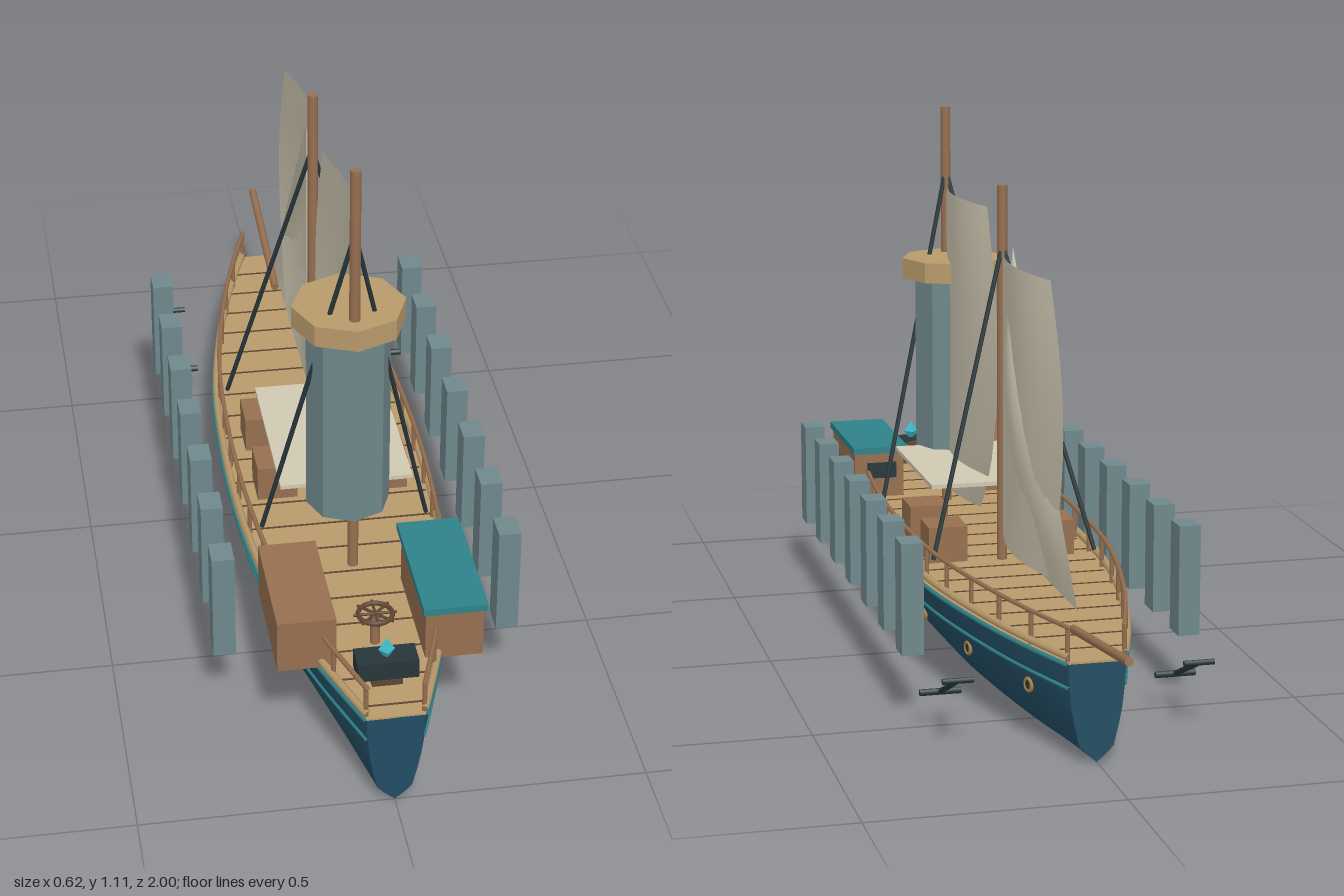
import * as THREE from 'three';

const mat = (name, color, double = false) => {
  const m = new THREE.MeshStandardMaterial({ color });
  m.name = name;
  if (double) m.side = THREE.DoubleSide;
  return m;
};
const V = (x, y, z) => new THREE.Vector3(x, y, z);

export function createModel() {
  const M = {
    hull: mat('hull blue', 0x234d63),
    deck: mat('deck tan', 0xb89a6b),
    wood: mat('brown wood', 0x966f50),
    darkWood: mat('dark wood', 0x5e4632),
    steel: mat('grey blue steel', 0x6f888c),
    sail: mat('canvas', 0xd0c9b3, true),
    teal: mat('teal', 0x2f828a),
    iron: mat('dark iron', 0x27363a),
    brass: mat('brass', 0xb0854a),
    crystal: mat('cyan crystal', 0x3fbccd),
  };
  const root = new THREE.Group();
  root.name = 'sailingShip';

  const add = (name, geo, m, x = 0, y = 0, z = 0) => {
    const mesh = new THREE.Mesh(geo, m);
    mesh.name = name;
    mesh.position.set(x, y, z);
    root.add(mesh);
    return mesh;
  };
  const box = (name, m, x0, x1, y0, y1, z0, z1) =>
    add(name, new THREE.BoxGeometry(x1 - x0, y1 - y0, z1 - z0), m, (x0 + x1) / 2, (y0 + y1) / 2, (z0 + z1) / 2);
  const rod = (name, m, a, b, r, sides = 8) => {
    const mesh = add(name, new THREE.CylinderGeometry(r, r, a.distanceTo(b), sides), m);
    mesh.position.copy(a).lerp(b, 0.5);
    mesh.quaternion.setFromUnitVectors(V(0, 1, 0), b.clone().sub(a).normalize());
    return mesh;
  };

  // Plan of the hull: half width along z, bow at -z
  const plan = new THREE.CatmullRomCurve3([
    [-0.785, 0.057], [-0.6, 0.117], [-0.4, 0.165], [-0.2, 0.199], [0, 0.212], [0.2, 0.214],
    [0.4, 0.204], [0.6, 0.18], [0.8, 0.127], [1, 0.057],
  ].map(([z, w]) => V(w, 0, z)), false, 'centripetal');
  const stations = plan.getPoints(48);
  const halfWidth = (z) => {
    let i = 1;
    while (i < stations.length - 1 && stations[i].z < z) i++;
    const a = stations[i - 1], b = stations[i];
    return THREE.MathUtils.lerp(a.x, b.x, (z - a.z) / (b.z - a.z));
  };

  // Hull skin from scaled cross-sections
  const half = [[1, 0.2], [0.98, 0.17], [0.94, 0.14], [0.88, 0.108], [0.75, 0.07], [0.59, 0.032], [0.3, 0.015]];
  const section = [...half, [0, 0.001], ...half.slice().reverse().map(([x, y]) => [-x, y])];
  const pos = [], idx = [], n = section.length;
  stations.forEach((s, i) => {
    section.forEach(([x, y], j) => {
      pos.push(x * s.x, y, s.z);
      if (i < stations.length - 1 && j < n - 1) {
        const a = i * n + j;
        idx.push(a, a + n, a + 1, a + 1, a + n, a + n + 1);
      }
    });
  });
  const skin = new THREE.BufferGeometry();
  skin.setAttribute('position', new THREE.Float32BufferAttribute(pos, 3));
  skin.setIndex(idx);
  skin.computeVertexNormals();
  add('hull', skin, M.hull);
  const endShape = new THREE.Shape(section.map(([x, y]) => new THREE.Vector2(x * 0.057, y)));
  add('sternTransom', new THREE.ShapeGeometry(endShape), M.hull, 0, 0, 1);
  add('bowTransom', new THREE.ShapeGeometry(endShape), M.hull, 0, 0, -0.785).rotation.y = Math.PI;

  // Deck with plank seams
  const outline = [
    ...stations.map((s) => new THREE.Vector2(s.x, -s.z)),
    ...stations.slice().reverse().map((s) => new THREE.Vector2(-s.x, -s.z)),
  ];
  const deck = new THREE.ExtrudeGeometry(new THREE.Shape(outline), { depth: 0.004, bevelEnabled: false });
  deck.rotateX(-Math.PI / 2);
  add('deck', deck, M.deck, 0, 0.199, 0);
  for (let z = -0.7; z < 0.98; z += 0.0875) {
    const w = halfWidth(z) * 0.93;
    box('plankSeam', M.darkWood, -w, w, 0.202, 0.2045, z - 0.002, z + 0.002);
  }

  // Rails, posts, stripes and portholes on both sides
  const along = (name, m, side, k, y, r, z0 = -0.785, z1 = 1) => {
    const pts = [];
    for (let i = 0; i <= 16; i++) {
      const z = z0 + ((z1 - z0) * i) / 16;
      pts.push(V(side * halfWidth(z) * k, y, z));
    }
    add(name, new THREE.TubeGeometry(new THREE.CatmullRomCurve3(pts), 48, r, 6), m);
  };
  for (const s of [-1, 1]) {
    along('lowerRail', M.deck, s, 0.97, 0.213, 0.008);
    along('upperRail', M.wood, s, 0.93, 0.27, 0.005);
    along('gunwaleStripe', M.teal, s, 1.0, 0.197, 0.005);
    along('sideStripe', M.teal, s, 0.957, 0.15, 0.004);
    for (let i = 0; i <= 14; i++) {
      const z = -0.775 + i * 0.126, x = s * halfWidth(z) * 0.93;
      rod('railPost', M.wood, V(x, 0.2, z), V(x, 0.27, z), 0.005, 6);
    }
    for (const z of [0.673, 0.486, 0.293, 0.095, -0.114, -0.376, -0.64]) {
      const port = new THREE.Group();
      port.name = 'porthole';
      const ring = new THREE.Mesh(new THREE.TorusGeometry(0.012, 0.004, 6, 16), M.brass);
      const glass = new THREE.Mesh(new THREE.CylinderGeometry(0.011, 0.011, 0.004, 16), M.iron);
      glass.rotation.x = Math.PI / 2;
      port.add(ring, glass);
      port.position.set(s * (halfWidth(z) * 0.9 + 0.003), 0.118, z);
      const slope = (halfWidth(z + 0.02) - halfWidth(z - 0.02)) / 0.04;
      port.rotation.y = Math.atan2(s, -slope);
      root.add(port);
    }
    // Floating side blocks
    for (let i = 0; i < 7; i++) {
      const z = 0.643 - i * 0.178;
      box('sideBlock', M.steel, s * 0.287 - 0.0225, s * 0.287 + 0.0225, 0.135, 0.365, z - 0.03, z + 0.03);
    }
    // Anchor
    const ax = s * 0.243;
    rod('anchorShaft', M.iron, V(ax, 0.143, -0.66), V(ax, 0.073, -0.505), 0.006);
    rod('anchorStock', M.iron, V(ax - 0.031, 0.143, -0.66), V(ax + 0.031, 0.143, -0.66), 0.006);
    rod('anchorFluke', M.iron, V(ax - 0.042, 0.073, -0.505), V(ax + 0.042, 0.073, -0.505), 0.007);
    // Deck crates
    for (const z of [0.01, 0.2]) box('crate', M.wood, s * 0.118 - 0.042, s * 0.118 + 0.042, 0.2, 0.28, z - 0.044, z + 0.044);
    // Shrouds
    rod('aftShroud', M.iron, V(0, 0.975, 0.498), V(s * 0.172, 0.24, 0.392), 0.005, 6);
    rod('foreShroud', M.iron, V(0, 0.885, -0.035), V(s * 0.175, 0.24, -0.14), 0.005, 6);
  }

  // Masts and bowsprit
  rod('aftMast', M.wood, V(0, 0.2, 0.5), V(0, 1.115, 0.5), 0.011, 10);
  rod('foreMast', M.wood, V(0, 0.2, -0.032), V(0, 1.01, -0.032), 0.011, 10);
  rod('bowsprit', M.wood, V(0, 0.215, -0.61), V(0, 0.265, -0.998), 0.009, 8);

  // Octagonal tower with its cap
  const octagon = (r, h) => new THREE.CylinderGeometry(r, r, h, 8).toNonIndexed();
  const tower = octagon(0.086, 0.42);
  tower.computeVertexNormals();
  add('tower', tower, M.steel, 0, 0.53, 0.432);
  const cap = octagon(0.115, 0.045);
  cap.computeVertexNormals();
  add('towerCap', cap, M.deck, 0, 0.7625, 0.432);

  // Billowed sails; the leech is a curve of (z, y) from foot to head
  const sail = (name, zLuff, leech, bulge) => {
    const curve = new THREE.SplineCurve(leech.map(([z, y]) => new THREE.Vector2(z, y)));
    const g = new THREE.PlaneGeometry(1, 1, 12, 12);
    const p = g.attributes.position;
    for (let i = 0; i < p.count; i++) {
      const u = p.getX(i) + 0.5, e = curve.getPoint(p.getY(i) + 0.5);
      p.setXYZ(i, bulge * Math.sin(Math.PI * u), e.y, THREE.MathUtils.lerp(zLuff, e.x, u));
    }
    g.computeVertexNormals();
    add(name, g, M.sail);
  };
  sail('aftSail', 0.49, [[0.16, 0.27], [0.06, 0.4], [0.004, 0.6], [0.03, 0.78], [0.1, 0.945]], 0.03);
  sail('foreSail', -0.042, [[-0.44, 0.27], [-0.505, 0.43], [-0.53, 0.58], [-0.505, 0.72], [-0.43, 0.875]], 0.03);

  // Triangular jib
  const jib = new THREE.PlaneGeometry(1, 1, 8, 10);
  const jp = jib.attributes.position;
  for (let i = 0; i < jp.count; i++) {
    const u = jp.getX(i) + 0.5, v = jp.getY(i) + 0.5;
    jp.setXYZ(i, 0.04 * Math.sin(Math.PI * u) * Math.sin(Math.PI * v),
      0.26 + 0.635 * v, -0.125 - 0.515 * u * (1 - v));
  }
  jib.computeVertexNormals();
  add('jib', jib, M.sail);
  box('awning', M.sail, -0.137, 0.137, 0.346, 0.355, 0.042, 0.42);

  // Cabins
  box('rightCabin', M.wood, -0.203, -0.087, 0.2, 0.312, 0.56, 0.825);
  box('leftCabin', M.wood, 0.088, 0.203, 0.2, 0.312, 0.565, 0.83);
  box('leftCabinRoof', M.teal, 0.082, 0.209, 0.31, 0.325, 0.543, 0.84);
  box('cabinPlate', M.iron, 0.112, 0.178, 0.255, 0.29, 0.532, 0.54);

  // Steering wheel lying flat on its post
  rod('wheelPost', M.wood, V(0, 0.2, 0.765), V(0, 0.272, 0.765), 0.01);
  add('wheelRim', new THREE.TorusGeometry(0.034, 0.005, 6, 20), M.darkWood, 0, 0.272, 0.765).rotation.x = Math.PI / 2;
  for (let i = 0; i < 4; i++) {
    const a = (i * Math.PI) / 4, x = Math.cos(a) * 0.043, z = Math.sin(a) * 0.043;
    rod('wheelSpoke', M.darkWood, V(-x, 0.272, 0.765 - z), V(x, 0.272, 0.765 + z), 0.003, 6);
  }

  // Console with a crystal
  box('console', M.iron, -0.06, 0.06, 0.225, 0.265, 0.86, 0.915);
  box('consoleFoot', M.darkWood, -0.03, 0.03, 0.2, 0.225, 0.87, 0.905);
  add('crystal', new THREE.OctahedronGeometry(0.022), M.crystal, 0, 0.28, 0.89).scale.set(0.75, 1.2, 0.75);

  return root;
}
